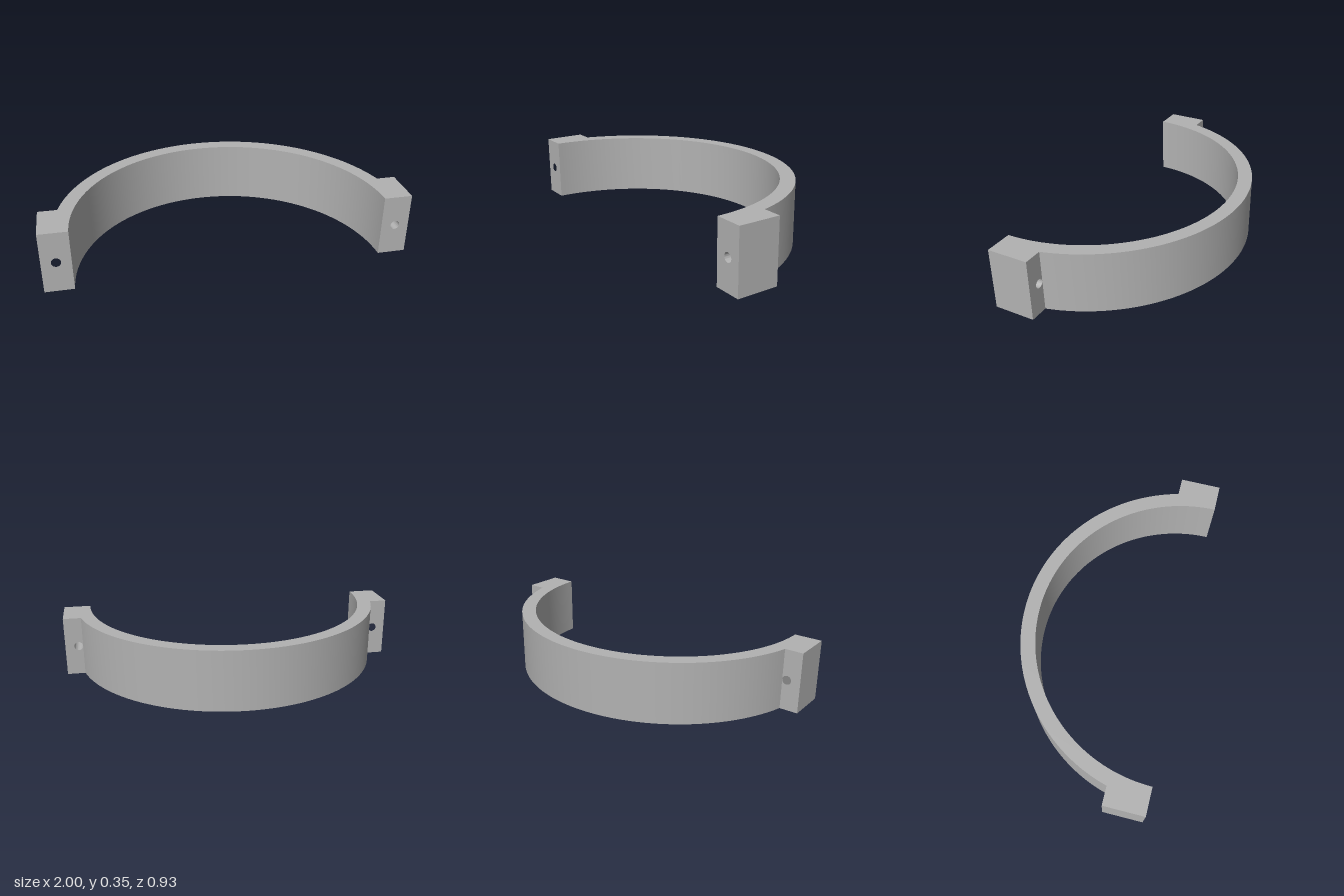
import * as THREE from 'three';
import { toCreasedNormals } from 'three/addons/utils/BufferGeometryUtils.js';

const H = 0.35;          // height
const FRONT = 0.463;     // front plane, where the arc is centred
const EAR_BACK = 0.23;   // back plane of the ears
const R_OUT = 0.926, R_IN = 0.843;
const HOLE_X = 0.922, HOLE_R = 0.0255;

export function createModel() {
  const model = new THREE.Group();
  model.name = 'halfClamp';
  const grey = new THREE.MeshStandardMaterial({ color: 0xb2b2b2 });
  grey.name = 'grey';

  // Half ring whose ends straighten where they meet the ears
  const depth = FRONT - EAR_BACK;
  const edgeX = Math.sqrt(R_OUT ** 2 - depth ** 2);
  const a = Math.asin(depth / R_OUT);
  const profile = new THREE.Shape();
  profile.moveTo(edgeX, -FRONT);
  profile.lineTo(edgeX, -EAR_BACK);
  profile.absarc(0, -FRONT, R_OUT, a, Math.PI - a, false);
  profile.lineTo(-edgeX, -FRONT);
  profile.lineTo(-R_IN, -FRONT);
  profile.absarc(0, -FRONT, R_IN, Math.PI, 0, true);
  const bandGeo = new THREE.ExtrudeGeometry(profile, { depth: H, bevelEnabled: false, curveSegments: 48 });
  bandGeo.rotateX(-Math.PI / 2);
  const band = new THREE.Mesh(toCreasedNormals(bandGeo, 0.1), grey);
  band.name = 'band';
  model.add(band);

  // Mounting ears with a bolt hole running front to back
  for (const side of [1, -1]) {
    const face = new THREE.Shape();
    face.moveTo(side * edgeX, 0);
    face.lineTo(side, 0);
    face.lineTo(side, H);
    face.lineTo(side * edgeX, H);
    face.closePath();
    const hole = new THREE.Path();
    hole.absarc(side * HOLE_X, H / 2, HOLE_R, 0, Math.PI * 2, true);
    face.holes.push(hole);
    const earGeo = new THREE.ExtrudeGeometry(face, { depth, bevelEnabled: false, curveSegments: 24 });
    earGeo.translate(0, 0, EAR_BACK);
    const ear = new THREE.Mesh(toCreasedNormals(earGeo, 0.5), grey);
    ear.name = side > 0 ? 'leftEar' : 'rightEar';
    model.add(ear);
  }
  return model;
}
